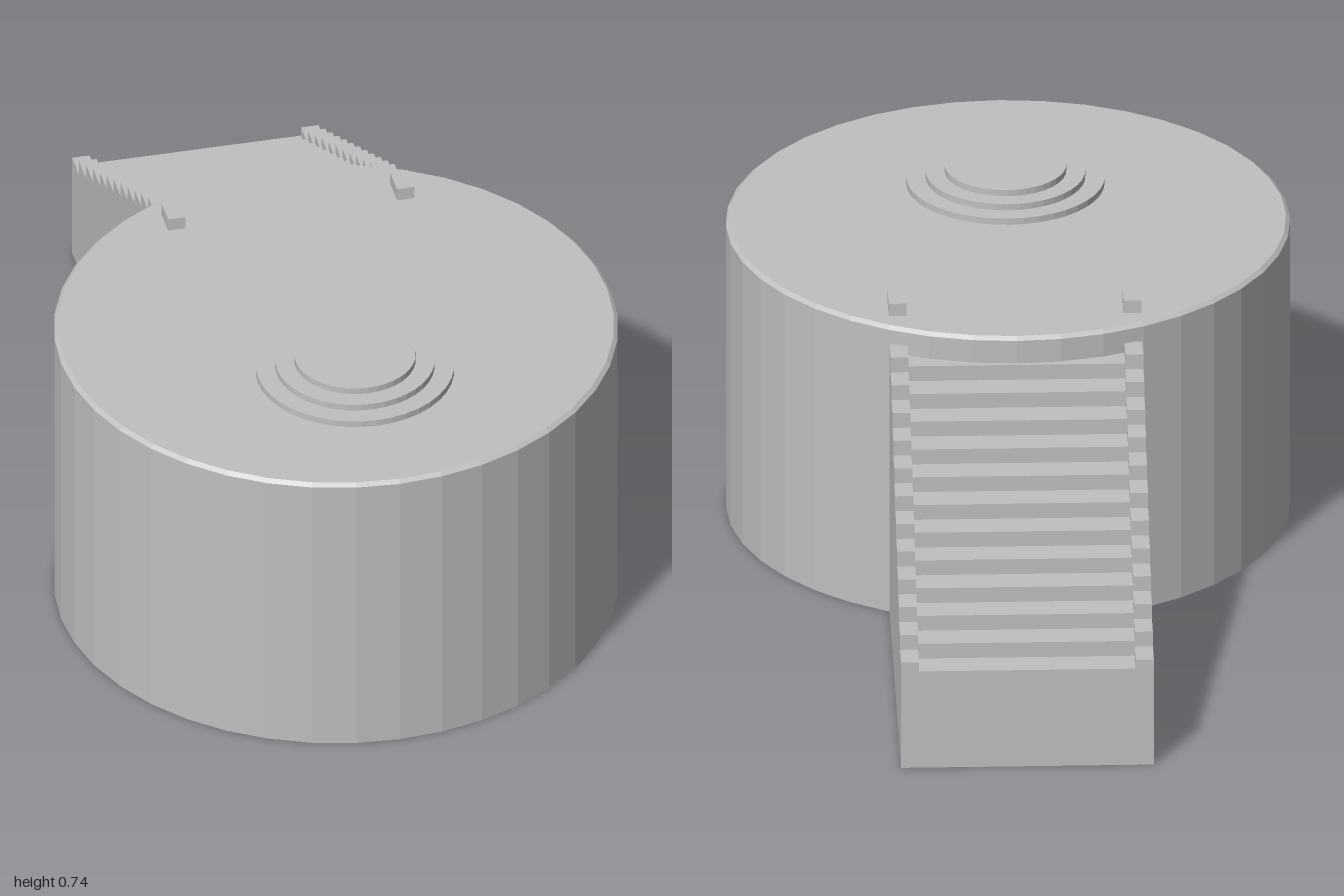
import * as THREE from 'three';

export function createModel() {
  const model = new THREE.Group();
  const stone = new THREE.MeshStandardMaterial({ color: 0xc0c0c0, flatShading: true });
  stone.name = 'stone grey';

  function add(name, geometry, x = 0, y = 0, z = 0, parent = model) {
    const mesh = new THREE.Mesh(geometry, stone);
    mesh.name = name;
    mesh.position.set(x, y, z);
    parent.add(mesh);
    return mesh;
  }

  // Round platform with a fine chamfer along its top edge
  const profile = [[0, 0], [0.625, 0], [0.625, 0.688], [0.616, 0.696], [0, 0.696]]
    .map(([r, y]) => new THREE.Vector2(r, y));
  add('platform', new THREE.LatheGeometry(profile, 40), 0, 0, 0.375);

  // Stacked discs of the dais
  const dais = new THREE.Group();
  dais.name = 'dais';
  dais.position.set(0, 0.696, 0.56);
  model.add(dais);
  [0.22, 0.177, 0.135].forEach((radius, i) => {
    add('daisStep', new THREE.CylinderGeometry(radius, radius, 0.015, 40), 0, 0.0075 + i * 0.015, 0, dais);
  });

  // Staircase: one stepped side profile extruded across its width
  const steps = 12, depth = 0.0675, rise = 0.0362, half = 0.28;
  const firstTread = 0.235, curbWidth = 0.04, curbHeight = 0.022;
  const side = new THREE.Shape();
  side.moveTo(0, 0);
  for (let i = 0; i < steps; i++) {
    side.lineTo(i * depth, firstTread + i * rise);
    side.lineTo((i + 1) * depth, firstTread + i * rise);
  }
  side.lineTo(steps * depth, 0);
  const stairs = new THREE.ExtrudeGeometry(side, { depth: half * 2, bevelEnabled: false });
  stairs.rotateY(-Math.PI / 2);
  add('staircase', stairs, half, 0, -1);

  // Curb blocks on both ends of every step, and a post at each side of the landing
  for (const sign of [-1, 1]) {
    const x = sign * (half - curbWidth / 2);
    for (let i = 0; i < steps; i++) {
      add('curbBlock', new THREE.BoxGeometry(curbWidth, curbHeight, depth),
        x, firstTread + i * rise + curbHeight / 2, -1 + (i + 0.5) * depth);
    }
    add('landingPost', new THREE.BoxGeometry(curbWidth, 0.03, 0.067), x, 0.711, -0.095);
  }
  return model;
}
